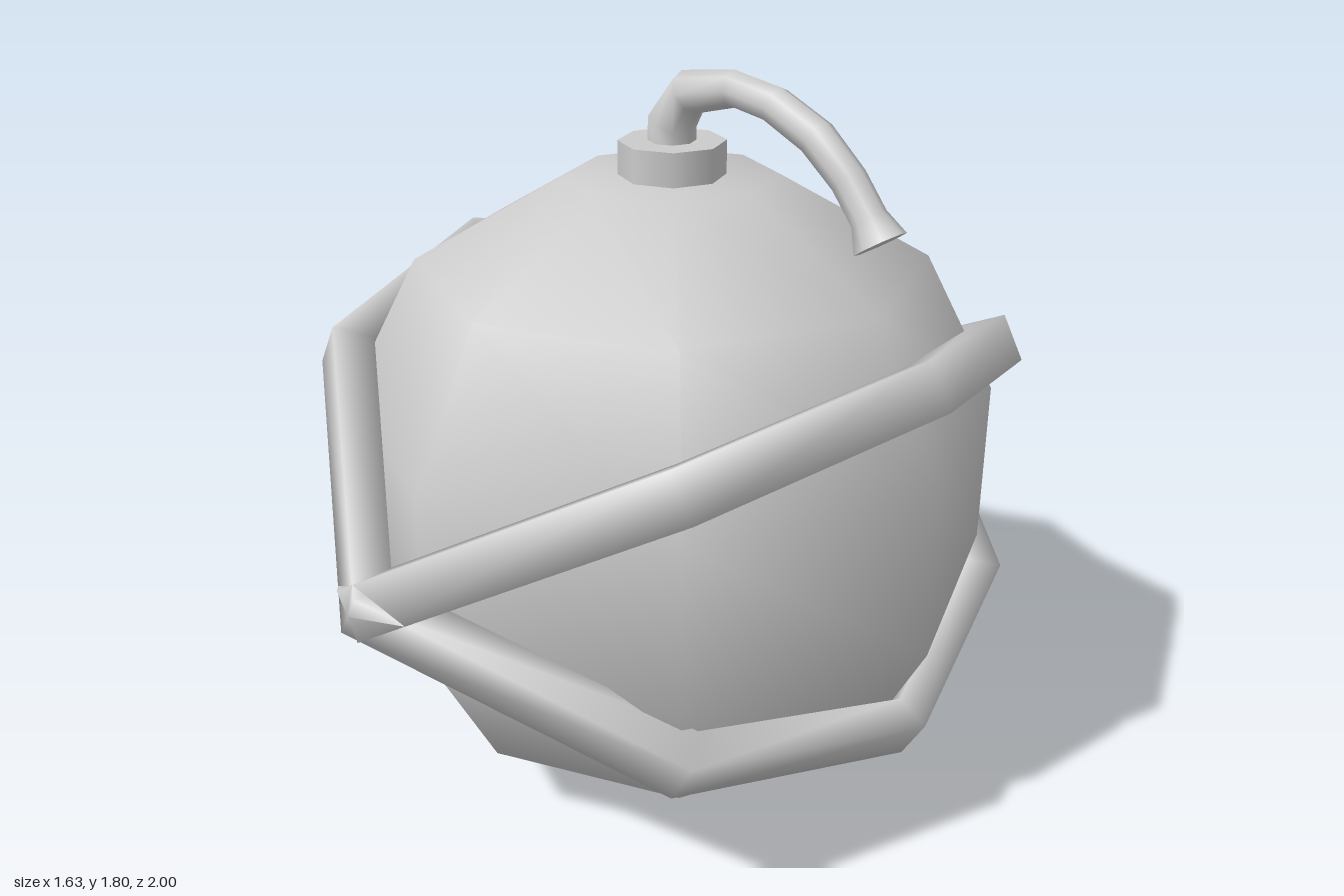
import * as THREE from 'three';

const material = new THREE.MeshStandardMaterial({ color: 0xcccccc });

function add(group, name, geometry) {
  const mesh = new THREE.Mesh(geometry, material);
  mesh.name = name;
  group.add(mesh);
  return mesh;
}

// Joins a list of cross-sections (arrays of Vector3) into a smooth skin.
function skin(sections, closed) {
  const n = sections[0].length, count = sections.length;
  const positions = [], index = [];
  sections.forEach((s) => s.forEach((p) => positions.push(p.x, p.y, p.z)));
  for (let i = 0; i < (closed ? count : count - 1); i++) {
    const k = (i + 1) % count;
    for (let j = 0; j < n; j++) {
      const m = (j + 1) % n;
      const a = i * n + j, b = i * n + m, c = k * n + j, d = k * n + m;
      index.push(a, b, c, b, d, c);
    }
  }
  const g = new THREE.BufferGeometry();
  g.setAttribute('position', new THREE.Float32BufferAttribute(positions, 3));
  g.setIndex(index);
  g.computeVertexNormals();
  return g;
}

// Eight-cornered band with a rectangular section, lying flat around y.
function strapGeometry() {
  const half = 0.06;
  const outer = [[0.905, 0], [0.69, 0.6], [0, 1]];
  const inner = [[0.82, 0], [0.625, 0.52], [0, 0.9]];
  const sections = [];
  for (let i = 0; i < 8; i++) {
    const q = [0, 1, 2, 1, 0, 1, 2, 1][i];
    const sx = i > 2 && i < 6 ? -1 : 1, sz = i > 4 ? -1 : 1;
    const at = (p, y) => new THREE.Vector3(p[0] * sx, y, p[1] * sz);
    sections.push([at(inner[q], -half), at(outer[q], -half), at(outer[q], half), at(inner[q], half)]);
  }
  return skin(sections, true);
}

// Curved fuse: each row is x, y, radius.
const fusePath = [
  [0, 1.58, 0.058], [0, 1.66, 0.058], [0.055, 1.737, 0.052], [0.19, 1.763, 0.042],
  [0.308, 1.745, 0.042], [0.425, 1.693, 0.043], [0.515, 1.617, 0.041],
  [0.572, 1.545, 0.041], [0.605, 1.495, 0.061],
];

function fuseTangent(i) {
  const a = fusePath[Math.max(i - 1, 0)], b = fusePath[Math.min(i + 1, fusePath.length - 1)];
  return new THREE.Vector3(b[0] - a[0], b[1] - a[1], 0).normalize();
}

function fuseGeometry() {
  return skin(fusePath.map(([x, y, r], i) => {
    const t = fuseTangent(i);
    return Array.from({ length: 8 }, (_, j) => {
      const a = (j * Math.PI) / 4;
      return new THREE.Vector3(x + Math.cos(a) * r * t.y, y - Math.cos(a) * r * t.x, -Math.sin(a) * r);
    });
  }), false);
}

export function createModel() {
  const group = new THREE.Group();

  // Eight-sided round body
  const profile = [[0, 0], [0.253, 0.002], [0.62, 0.21], [0.803, 0.56], [0.803, 0.98], [0.62, 1.33], [0.253, 1.535], [0, 1.537]];
  add(group, 'body', new THREE.LatheGeometry(profile.map((p) => new THREE.Vector2(...p)), 8));

  // Two crossed straps
  for (const side of [1, -1]) {
    const strap = add(group, side > 0 ? 'strapRisingLeft' : 'strapRisingRight', strapGeometry());
    strap.position.y = 0.77;
    strap.rotation.z = (side * Math.PI) / 6;
  }

  // Collar on top
  add(group, 'collar', new THREE.CylinderGeometry(0.128, 0.128, 0.1, 8)).position.y = 1.567;

  // Fuse and its flat flared end
  add(group, 'fuse', fuseGeometry());
  const last = fusePath.length - 1;
  const tip = add(group, 'fuseTip', new THREE.CircleGeometry(fusePath[last][2], 8));
  tip.position.set(fusePath[last][0], fusePath[last][1], 0);
  tip.lookAt(tip.position.clone().add(fuseTangent(last)));

  return group;
}
